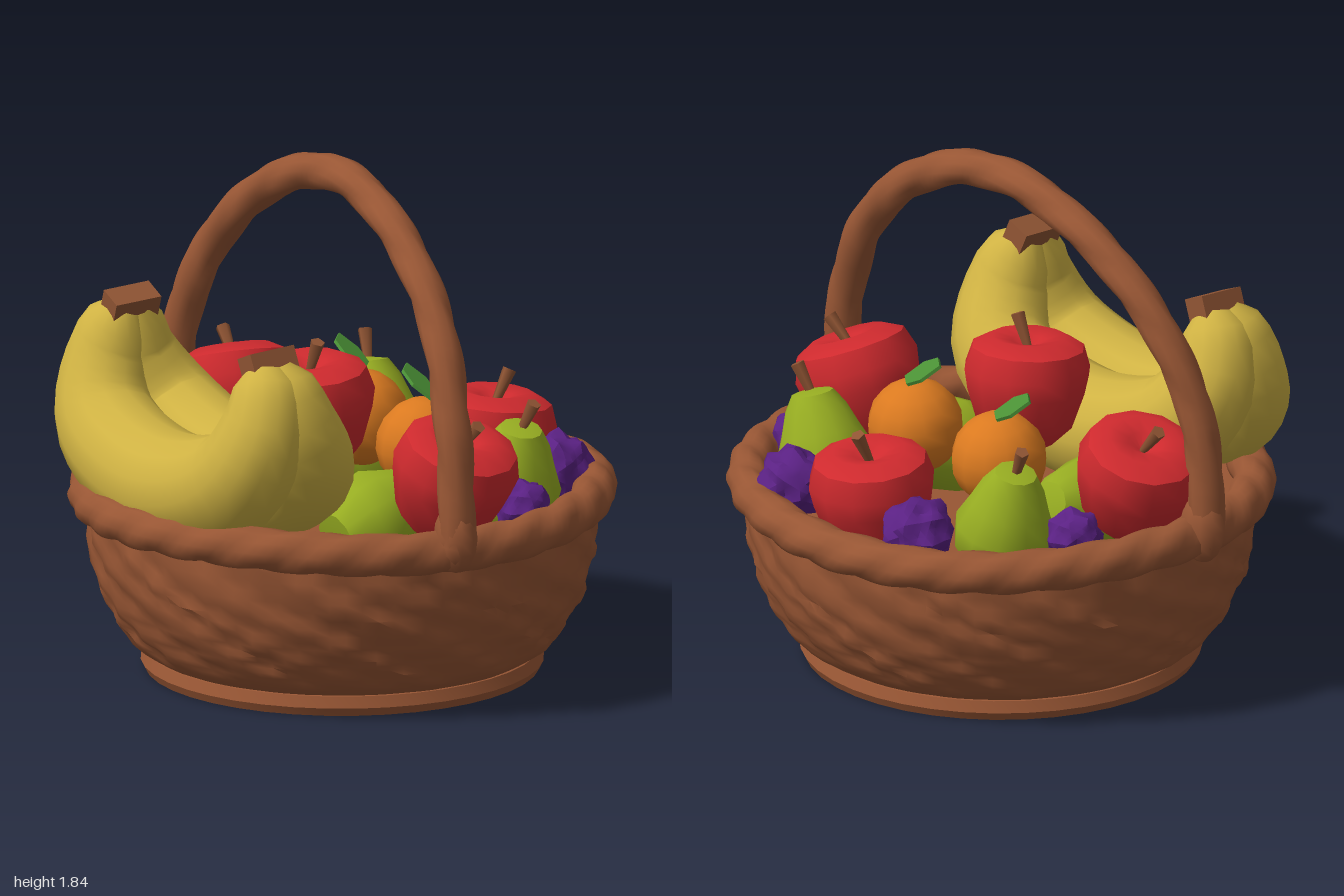
import * as THREE from 'three';
import { toCreasedNormals } from 'three/addons/utils/BufferGeometryUtils.js';

const mat = (name, color) => {
  const m = new THREE.MeshStandardMaterial({ color });
  m.name = name;
  return m;
};
const V = (x, y, z) => new THREE.Vector3(x, y, z);
const UP = V(0, 1, 0);

// Lathe surface from [radius, height] pairs, bottom to top
function lathe(points, sides, crease = 0.6) {
  const g = new THREE.LatheGeometry(points.map(([r, y]) => new THREE.Vector2(r, y)), sides);
  return toCreasedNormals(g, crease);
}

// Sweeps a section along a curve; radius(t, angle) shapes it
function sweep(curve, steps, sides, radius, closed = false) {
  const frames = curve.computeFrenetFrames(steps, closed);
  const rings = closed ? steps : steps + 1;
  const pos = [], index = [];
  for (let i = 0; i < rings; i++) {
    const t = i / steps, c = curve.getPointAt(t);
    for (let j = 0; j < sides; j++) {
      const a = (j / sides) * Math.PI * 2, r = radius(t, a);
      const p = c.clone()
        .addScaledVector(frames.normals[i], r * Math.cos(a))
        .addScaledVector(frames.binormals[i], r * Math.sin(a));
      pos.push(p.x, p.y, p.z);
    }
  }
  for (let i = 0; i < steps; i++) {
    for (let j = 0; j < sides; j++) {
      const k = (j + 1) % sides, n = (i + 1) % rings;
      const a = i * sides + j, b = i * sides + k, c = n * sides + j, d = n * sides + k;
      index.push(a, b, c, b, d, c);
    }
  }
  const g = new THREE.BufferGeometry();
  g.setAttribute('position', new THREE.Float32BufferAttribute(pos, 3));
  g.setIndex(index);
  g.computeVertexNormals();
  return g;
}

// Section of a rope of three twisted strands
const rope = (r, turns) => (t, a) =>
  r * (0.87 + 0.16 * Math.abs(Math.sin(1.5 * a + turns * Math.PI * t)));

export function createModel() {
  const model = new THREE.Group();
  const wicker = mat('wicker brown', 0x985634);
  const stemBrown = mat('stem brown', 0x8f5433);
  const yellow = mat('banana yellow', 0xcfb243);
  const red = mat('apple red', 0xcf2a2e);
  const orange = mat('orange', 0xdb7a20);
  const green = mat('pear green', 0x98ae22);
  const leafGreen = mat('leaf green', 0x4b9236);
  const purple = mat('grape purple', 0x5a2183);

  const add = (name, geo, material, parent = model) => {
    const m = new THREE.Mesh(geo, material);
    m.name = name;
    parent.add(m);
    return m;
  };

  // Basket wall with soft, irregular woven bumps in rows
  const outer = new THREE.SplineCurve([[0.66, 0.06], [0.74, 0.11], [0.8, 0.2], [0.85, 0.31], [0.885, 0.46], [0.89, 0.62]]
    .map(([x, y]) => new THREE.Vector2(x, y)));
  const wall = new THREE.LatheGeometry(outer.getPoints(24), 96);
  const p = wall.attributes.position;
  for (let i = 0; i < p.count; i++) {
    const x = p.getX(i), y = p.getY(i), z = p.getZ(i);
    const row = Math.floor(y / 0.06), a = Math.atan2(x, z);
    const bump = 0.01 * Math.sin(17 * a + row * 2.6 + Math.sin(5 * a + row)) + 0.005 * Math.sin(31 * a - row * 1.9);
    const s = 1 + bump * Math.min(1, (y - 0.05) * 8);
    p.setXYZ(i, x * s, y, z * s);
  }
  add('basketWall', toCreasedNormals(wall, 1), wicker);
  add('basketBase', lathe([[0, 0], [0.69, 0], [0.705, 0.03], [0.69, 0.07], [0.64, 0.08]], 40), wicker);
  add('basketInside', lathe([[0, 0.5], [0.78, 0.5], [0.82, 0.6], [0.88, 0.64]].reverse(), 40), wicker);

  // Twisted rim
  const ring = new THREE.CatmullRomCurve3(Array.from({ length: 24 }, (_, i) => {
    const a = (i / 24) * Math.PI * 2;
    return V(0.882 * Math.cos(a), 0.635 + 0.01 * Math.sin(3 * a), 0.882 * Math.sin(a));
  }), true);
  add('basketRim', sweep(ring, 160, 12, rope(0.077, 26), true), wicker);

  // Twisted handle arching from front to back
  const arch = new THREE.CatmullRomCurve3([
    V(-0.09, 0.57, 0.915), V(-0.08, 0.75, 0.915), V(-0.07, 1.08, 0.865), V(-0.04, 1.4, 0.71), V(-0.02, 1.66, 0.4),
    V(-0.01, 1.77, 0), V(-0.03, 1.66, -0.4), V(-0.08, 1.4, -0.71), V(-0.13, 1.08, -0.865),
    V(-0.13, 0.75, -0.915), V(-0.12, 0.57, -0.915)]);
  const strand = rope(0.066, 12);
  add('basketHandle', sweep(arch, 120, 12,
    (t, a) => strand(t, a) * Math.min(1, Math.sqrt(Math.min(t, 1 - t) * 60))), wicker);
  for (const [x, z] of [[-0.08, 0.905], [-0.12, -0.905]]) {
    const knot = add('handleKnot', new THREE.SphereGeometry(0.085, 10, 8), wicker);
    knot.position.set(x, 0.68, z);
    knot.scale.set(0.85, 1.5, 1.05);
  }

  // Two smooth bananas sharing a stem at each raised end
  const bananas = new THREE.Group();
  bananas.name = 'bananas';
  bananas.position.z = -0.015;
  model.add(bananas);
  for (const [name, xs] of [['outerBanana', [-0.58, -0.62, -0.68, -0.7]], ['innerBanana', [-0.56, -0.52, -0.42, -0.4]]]) {
    const half = [[1.26, 0.48], [1.08, 0.535], [0.87, 0.45], [0.74, 0]].map(([y, z], i) => V(xs[i], y, z));
    const path = [...half, ...half.slice(0, 3).reverse().map((q) => V(q.x, q.y, -q.z))];
    const thick = (t) => 0.065 + 0.138 * Math.pow(Math.sin(Math.PI * Math.min(1, t)), 0.4);
    add(name, sweep(new THREE.CatmullRomCurve3(path), 28, 14, thick), yellow, bananas);
  }
  for (const s of [-1, 1]) {
    const stem = add('bananaStem', new THREE.BoxGeometry(0.18, 0.09, 0.095), stemBrown, bananas);
    stem.position.set(-0.57, 1.27, s * 0.47);
    stem.rotation.set(-s * 0.4, 0, 0.06);
  }

  // A fruit group standing on its own axis; the optional stem leans toward [x, z]
  const fruit = (name, geo, material, at, axis, stemY, lean) => {
    const g = new THREE.Group();
    g.name = name;
    g.position.set(...at);
    g.quaternion.setFromUnitVectors(UP, V(...axis).normalize());
    model.add(g);
    add(name + 'Body', geo, material, g);
    if (stemY) {
      const stem = add(name + 'Stem', new THREE.CylinderGeometry(0.026, 0.014, 0.14, 5), stemBrown, g);
      const dir = V(lean[0], 1, lean[1]).normalize();
      stem.quaternion.setFromUnitVectors(UP, dir);
      stem.position.set(0, stemY - 0.06, 0).addScaledVector(dir, 0.06);
    }
  };

  // Apples
  const apple = lathe([[0, -0.17], [0.1, -0.2], [0.17, -0.13], [0.212, 0], [0.225, 0.07],
    [0.2, 0.15], [0.13, 0.187], [0.06, 0.17], [0, 0.13]], 12, 0.75);
  fruit('topApple', apple, red, [-0.13, 0.94, 0.01], [-0.08, 1, 0.03], 0.2, [0.1, 0.4]);
  fruit('sideApple', apple, red, [0.6, 0.72, 0.01], [0.1, 1, 0], 0.2, [0.4, 0]);
  fruit('backApple', apple, red, [-0.03, 0.81, -0.66], [0.08, 1, -0.38], 0.2, [0, -0.4]);
  fruit('frontApple', apple, red, [0.05, 0.81, 0.66], [0.07, 1, 0.38], 0.2, [0.1, 0.4]);

  // Pears: two upright, two lying under the top apple
  const pear = lathe([[0, -0.18], [0.1, -0.17], [0.17, -0.07], [0.178, 0.01], [0.14, 0.1],
    [0.11, 0.18], [0.075, 0.235], [0, 0.25]], 11, 0.75);
  for (const s of [-1, 1]) {
    fruit('pear', pear, green, [0.41, 0.69, s * 0.46], [0.02, 1, s * 0.28], 0.28, [0.15, s * 0.2]);
    fruit('lowPear', pear, green, [-0.09, 0.625, s * 0.37], [1, 0.3, -0.1]);
  }

  // Oranges, each with a leaf
  const ball = new THREE.SphereGeometry(0.17, 12, 9);
  const leafShape = new THREE.Shape([[0, -0.1], [0.06, -0.04], [0.06, 0.04], [0, 0.1], [-0.06, 0.04], [-0.06, -0.04]]
    .map(([x, y]) => new THREE.Vector2(x, y)));
  const leafGeo = new THREE.ExtrudeGeometry(leafShape, { depth: 0.012, bevelEnabled: false });
  const along = V(0, 0.45, -0.9).normalize(), face = V(0.45, 0.8, 0.4).normalize();
  const across = along.clone().cross(face);
  for (const [z, leafZ] of [[0.23, 0.18], [-0.2, -0.28]]) {
    fruit('orange', ball, orange, [0.195, 0.82, z], [0.1, 1, 0]);
    const leaf = add('leaf', leafGeo, leafGreen);
    leaf.quaternion.setFromRotationMatrix(new THREE.Matrix4().makeBasis(across, along, face));
    leaf.position.set(0.2, 1.03, leafZ);
  }

  // Knobbly grape clusters
  const cluster = new THREE.IcosahedronGeometry(1, 4);
  const q = cluster.attributes.position, v = V(0, 0, 0);
  for (let i = 0; i < q.count; i++) {
    v.fromBufferAttribute(q, i);
    const bump = Math.sin(7 * v.x + 1) * Math.sin(7 * v.y + 2) + Math.sin(7 * v.z + 0.5) * Math.cos(6 * v.x);
    v.multiplyScalar(0.94 + 0.1 * bump);
    q.setXYZ(i, v.x, v.y, v.z);
  }
  const grapeGeo = toCreasedNormals(cluster, 0.6);
  [[0.26, 0.68, -0.66, 0.1], [0.67, 0.7, -0.3, 0.13], [0.67, 0.7, 0.35, 0.13], [0.33, 0.68, 0.68, 0.1]]
    .forEach(([x, y, z, r], i) => {
      const grapes = add('grapes', grapeGeo, purple);
      grapes.position.set(x, y, z);
      grapes.scale.setScalar(r);
      grapes.rotation.y = i * 1.3;
    });

  return model;
}
